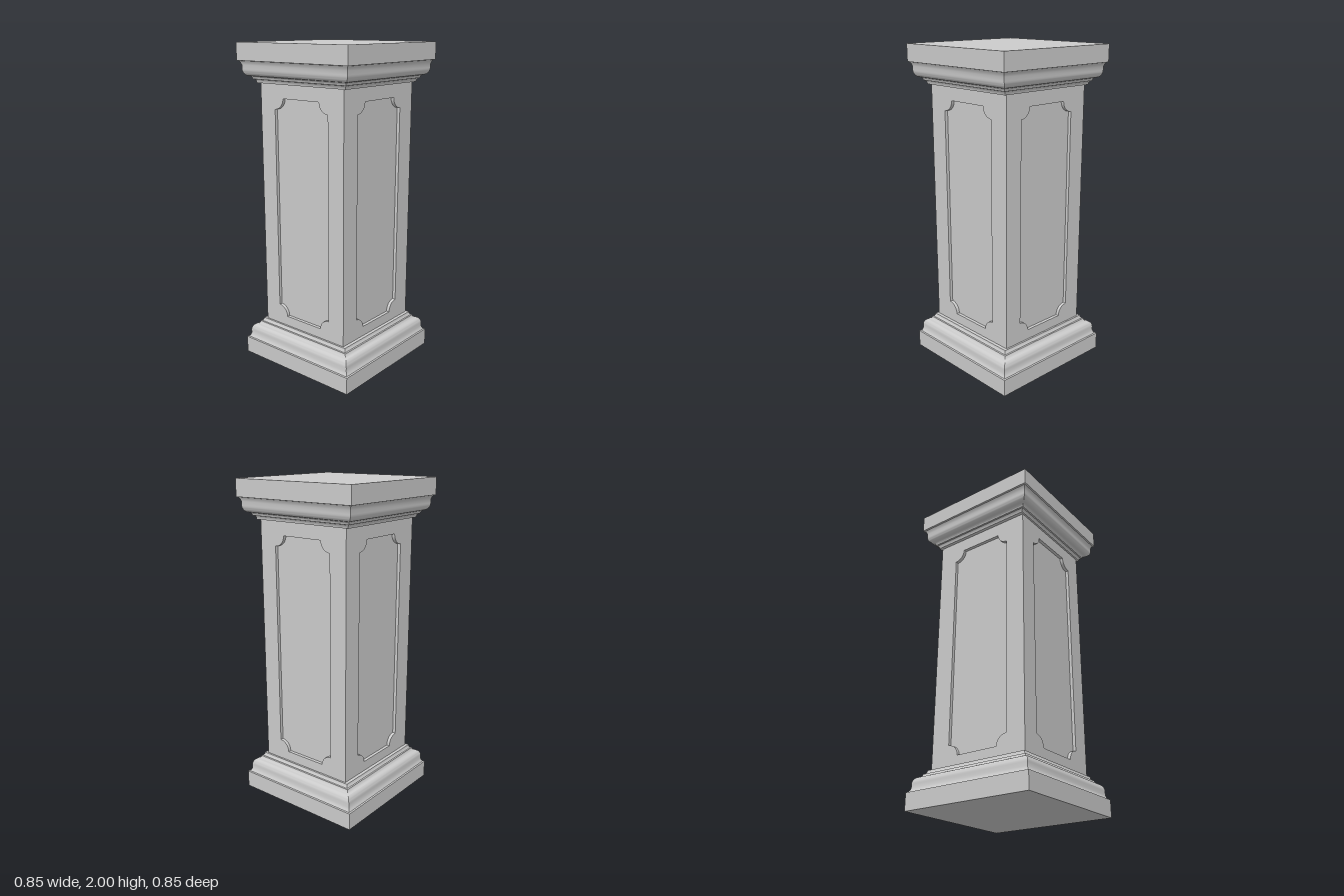
import * as THREE from 'three';
import { toCreasedNormals } from 'three/addons/utils/BufferGeometryUtils.js';

const H = 2, HX = 0.32, HZ = 0.33, DEPTH = 0.02, Y0 = 0.22, Y1 = 1.79;

// Half-width and height of the foot, from the ground up to the shaft
function footProfile() {
  const p = [[0, 0], [0.423, 0], [0.423, 0.106], [0.413, 0.108], [0.407, 0.118], [0.402, 0.132]];
  // rounded shoulder
  for (let i = 0; i <= 8; i++) {
    const a = (i / 8) * Math.PI / 2;
    p.push([0.37 + 0.032 * Math.cos(a), 0.155 + 0.042 * Math.sin(a)]);
  }
  // small cove and fillets
  p.push([0.364, 0.2], [0.36, 0.206], [0.358, 0.215], [0.35, 0.217], [0.343, 0.226], [0.341, 0.238], [0, 0.238]);
  return p;
}

// Square moulding: a four-sided lathe with sharp mitred corners
function squareLathe(profile) {
  const pts = profile.map(([r, y]) => new THREE.Vector2(r * Math.SQRT2, y));
  const geo = new THREE.LatheGeometry(pts, 4);
  geo.rotateY(Math.PI / 4);
  return toCreasedNormals(geo, 0.6);
}

// Panel outline: tall rectangle with stepped, scooped corners
function panelPath() {
  const w = 0.205, y0 = 0.3, y1 = 1.68, notch = 0.075, r = 0.066;
  const path = new THREE.Path();
  const corners = [[w, y1, Math.PI], [-w, y1, Math.PI * 1.5], [-w, y0, 0], [w, y0, Math.PI / 2]];
  corners.forEach(([x, y, a], i) => {
    const sx = Math.sign(x), sy = y === y1 ? -1 : 1;
    const side = [x, y + sy * notch], flat = [x - sx * notch, y];
    const [from, to] = i % 2 ? [flat, side] : [side, flat];
    if (i === 0) path.moveTo(...from); else path.lineTo(...from);
    // the scoop is centred on the corner and swept clockwise
    path.absarc(x, y, r, a + Math.PI / 2, a, true);
    path.lineTo(...to);
  });
  path.closePath();
  return path;
}

// Wall slab with the panel cut through, outer face at z = 0
function wallGeometry(half) {
  const s = new THREE.Shape();
  s.moveTo(-half, Y0).lineTo(half, Y0).lineTo(half, Y1).lineTo(-half, Y1).closePath();
  s.holes.push(panelPath());
  const geo = new THREE.ExtrudeGeometry(s, { depth: DEPTH, bevelEnabled: false, curveSegments: 8 });
  geo.translate(0, 0, -DEPTH);
  return toCreasedNormals(geo, 0.6);
}

export function createModel() {
  const group = new THREE.Group();
  const mat = new THREE.MeshStandardMaterial({ color: 0xcccccc });
  const add = (name, geo) => {
    const m = new THREE.Mesh(geo, mat);
    m.name = name;
    group.add(m);
    return m;
  };

  // Foot and mirrored cap
  const foot = footProfile();
  add('base', squareLathe(foot));
  add('capital', squareLathe(foot.map(([r, y]) => [r, H - y]).reverse()));

  // Core forms the sunken panel floors
  const core = add('shaftCore', new THREE.BoxGeometry(2 * (HX - DEPTH), Y1 - Y0, 2 * (HZ - DEPTH)));
  core.position.y = (Y0 + Y1) / 2;

  // Four walls with recessed panels; side walls fit between front and back
  ['front', 'left', 'back', 'right'].forEach((name, i) => {
    const side = i % 2 === 1;
    const wall = add(name + 'Wall', wallGeometry(side ? HZ - DEPTH : HX));
    const angle = i * Math.PI / 2, d = side ? HX : HZ;
    wall.rotation.y = angle;
    wall.position.set(Math.sin(angle) * d, 0, Math.cos(angle) * d);
  });
  return group;
}
